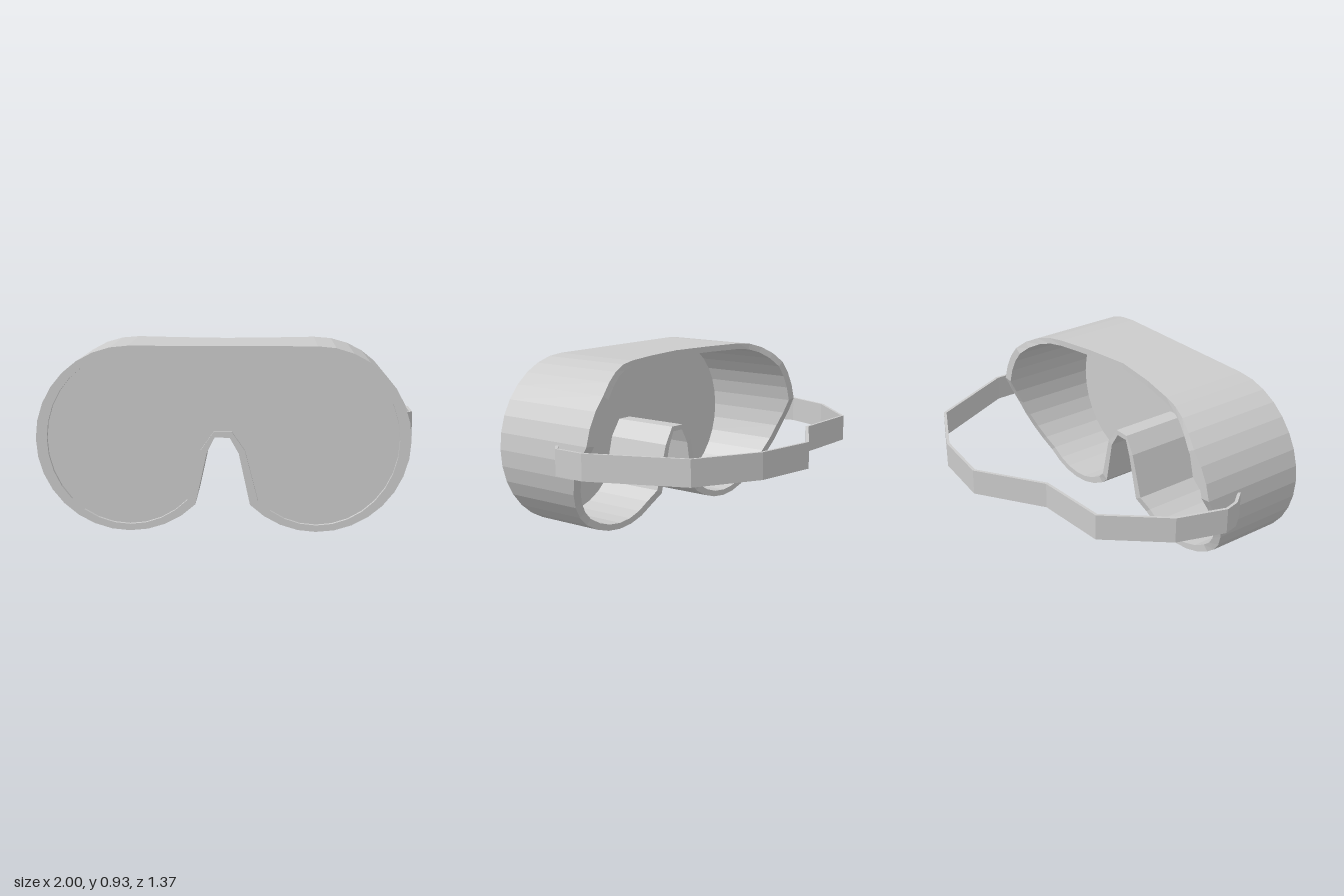
import * as THREE from 'three';

const CX = 0.01, FRONT = 0.685;
const grey = () => new THREE.MeshStandardMaterial({ color: 0xcccccc, flatShading: true });

// piecewise linear lookup through [input, output] stops
function lerpStops(stops, v) {
  if (v <= stops[0][0]) return stops[0][1];
  for (let i = 1; i < stops.length; i++) {
    const [a, za] = stops[i - 1], [b, zb] = stops[i];
    if (v <= b) return za + (zb - za) * (v - a) / (b - a);
  }
  return stops[stops.length - 1][1];
}

// back edge follows the face: hollowed at the brow, cut away at the cheeks
const browStops = [[0, 0.25], [0.25, 0.215], [0.46, 0.165], [0.6, 0.135], [0.79, 0.07]];
const cheekStops = [[0.08, 0.27], [0.2, 0.225], [0.4, 0.15], [0.55, 0.07]];
const backZ = (p) => Math.max(lerpStops(browStops, Math.abs(p.x - CX)), lerpStops(cheekStops, p.y));

// two-lobed outline, counter-clockwise, with a notch for the nose
function outline(rx, ry, nose) {
  const pts = [];
  const arc = (cx, from, to) => {
    for (let i = 0; i <= 20; i++) {
      const a = THREE.MathUtils.degToRad(from + (to - from) * i / 20);
      pts.push(new THREE.Vector2(cx + rx * Math.cos(a), 0.47 + ry * Math.sin(a)));
    }
  };
  arc(CX + 0.465, -135, 90);
  for (const x of [0.25, 0, -0.25]) pts.push(new THREE.Vector2(CX + x, 0.47 + ry));
  arc(CX - 0.465, 90, 315);
  for (const [x, y] of nose) pts.push(new THREE.Vector2(x, y));
  for (const p of pts) p.y -= 0.005;
  return pts;
}

// hollow frame wall between the outer and inner outlines
function frameGeometry(outer, inner) {
  const pos = [];
  const quad = (a, b, c, d) => [a, b, c, a, c, d].forEach((v) => pos.push(...v));
  const n = outer.length;
  const corner = (i) => {
    const o = outer[i], q = inner[i], z = backZ(o);
    return { oF: [o.x, o.y, FRONT], oB: [o.x, o.y, z], iF: [q.x, q.y, FRONT], iB: [q.x, q.y, z] };
  };
  for (let i = 0; i < n; i++) {
    const a = corner(i), b = corner((i + 1) % n);
    quad(a.oF, a.oB, b.oB, b.oF);
    quad(b.iF, b.iB, a.iB, a.iF);
    quad(a.oF, b.oF, b.iF, a.iF);
    quad(a.oB, a.iB, b.iB, b.oB);
  }
  const g = new THREE.BufferGeometry();
  g.setAttribute('position', new THREE.Float32BufferAttribute(pos, 3));
  g.computeVertexNormals();
  return g;
}

// flat band following a path of [x, z] points
function strapGeometry(path, thickness, height) {
  const pts = path.map(([x, z]) => new THREE.Vector2(x, -z));
  const side = (s) => pts.map((p, i) => {
    const t = pts[Math.min(i + 1, pts.length - 1)].clone().sub(pts[Math.max(i - 1, 0)]).normalize();
    return new THREE.Vector2(p.x - t.y * s, p.y + t.x * s);
  });
  const shape = new THREE.Shape([...side(thickness / 2), ...side(-thickness / 2).reverse()]);
  return new THREE.ExtrudeGeometry(shape, { depth: height, bevelEnabled: false }).rotateX(-Math.PI / 2);
}

export function createModel() {
  const group = new THREE.Group();
  const add = (name, geometry) => {
    const mesh = new THREE.Mesh(geometry, grey());
    mesh.name = name;
    group.add(mesh);
    return mesh;
  };

  const outer = outline(0.465, 0.465, [[-0.07, 0.4], [-0.03, 0.48], [0.045, 0.48], [0.09, 0.4]]);
  const inner = outline(0.41, 0.432, [[-0.1, 0.415], [-0.035, 0.508], [0.055, 0.508], [0.12, 0.415]]);
  add('frame', frameGeometry(outer, inner));

  // lens set slightly behind the front rim
  const lens = add('lens', new THREE.ExtrudeGeometry(new THREE.Shape(inner), { depth: 0.02, bevelEnabled: false }));
  lens.position.z = FRONT - 0.04;

  // loose head strap
  const strap = add('headStrap', strapGeometry([
    [-0.915, 0.275], [-0.975, 0.195], [-0.993, 0.12], [-0.907, -0.14], [-0.652, -0.435], [-0.255, -0.453],
    [0.09, -0.68], [0.43, -0.635], [0.765, -0.455], [0.99, 0.045], [0.99, 0.22], [0.93, 0.275],
  ], 0.016, 0.14));
  strap.position.y = 0.4;

  return group;
}
